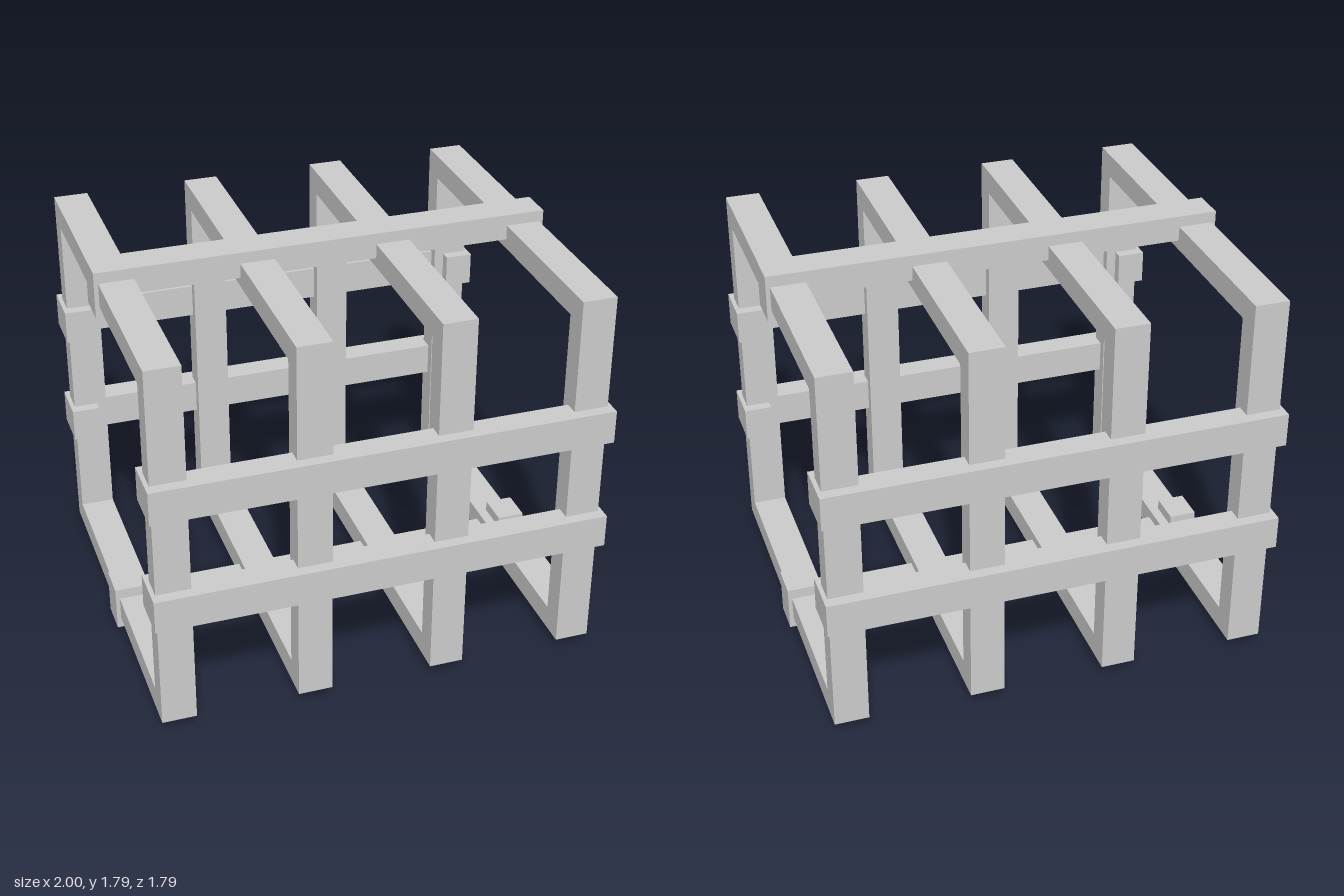
import * as THREE from 'three';

const MID = 0.897; // height of the cage's centre and reach of the rails from it
const BAR = 0.151; // bar width

export function createModel() {
  const group = new THREE.Group();
  group.name = 'slattedCage';
  const material = new THREE.MeshStandardMaterial({ color: 0xcccccc, flatShading: true });

  const add = (name, geometry, x, y, turn = 0) => {
    const mesh = new THREE.Mesh(geometry, material);
    mesh.name = name;
    mesh.position.set(x, y, 0);
    mesh.rotation.x = turn;
    group.add(mesh);
  };
  const toPoints = (list) => list.map(([x, y]) => new THREE.Vector2(x, y));
  const extrudeBar = (shape) =>
    new THREE.ExtrudeGeometry(shape, { depth: BAR, bevelEnabled: false }).translate(0, 0, -BAR / 2);

  // Square upright frames, spaced along x
  const square = (h) => toPoints([[-h, -h], [h, -h], [h, h], [-h, h]]);
  const frameShape = new THREE.Shape(square(0.847));
  frameShape.holes.push(new THREE.Path(square(0.74)));
  const frame = extrudeBar(frameShape).rotateY(Math.PI / 2);
  for (let i = 0; i < 4; i++) add(`frame${i + 1}`, frame, (i - 1.5) * 0.604, MID);

  // Long rails: a thin slat with a deeper block at each end, hooked over the outer frames
  const inner = MID - 0.115;
  const hook = MID - 0.205;
  const hookX = 0.875;
  const rail = extrudeBar(new THREE.Shape(toPoints([
    [-1, MID], [-1, hook], [-hookX, hook], [-hookX, inner],
    [hookX, inner], [hookX, hook], [1, hook], [1, MID],
  ])));
  add('topRail', rail, 0, MID);
  add('bottomRail', rail, 0, MID, Math.PI);
  for (const [side, turn] of [['front', Math.PI / 2], ['back', -Math.PI / 2]]) {
    add(`${side}UpperRail`, rail, 0, MID + 0.261, turn);
    add(`${side}LowerRail`, rail, 0, MID - 0.261, turn);
  }
  return group;
}
